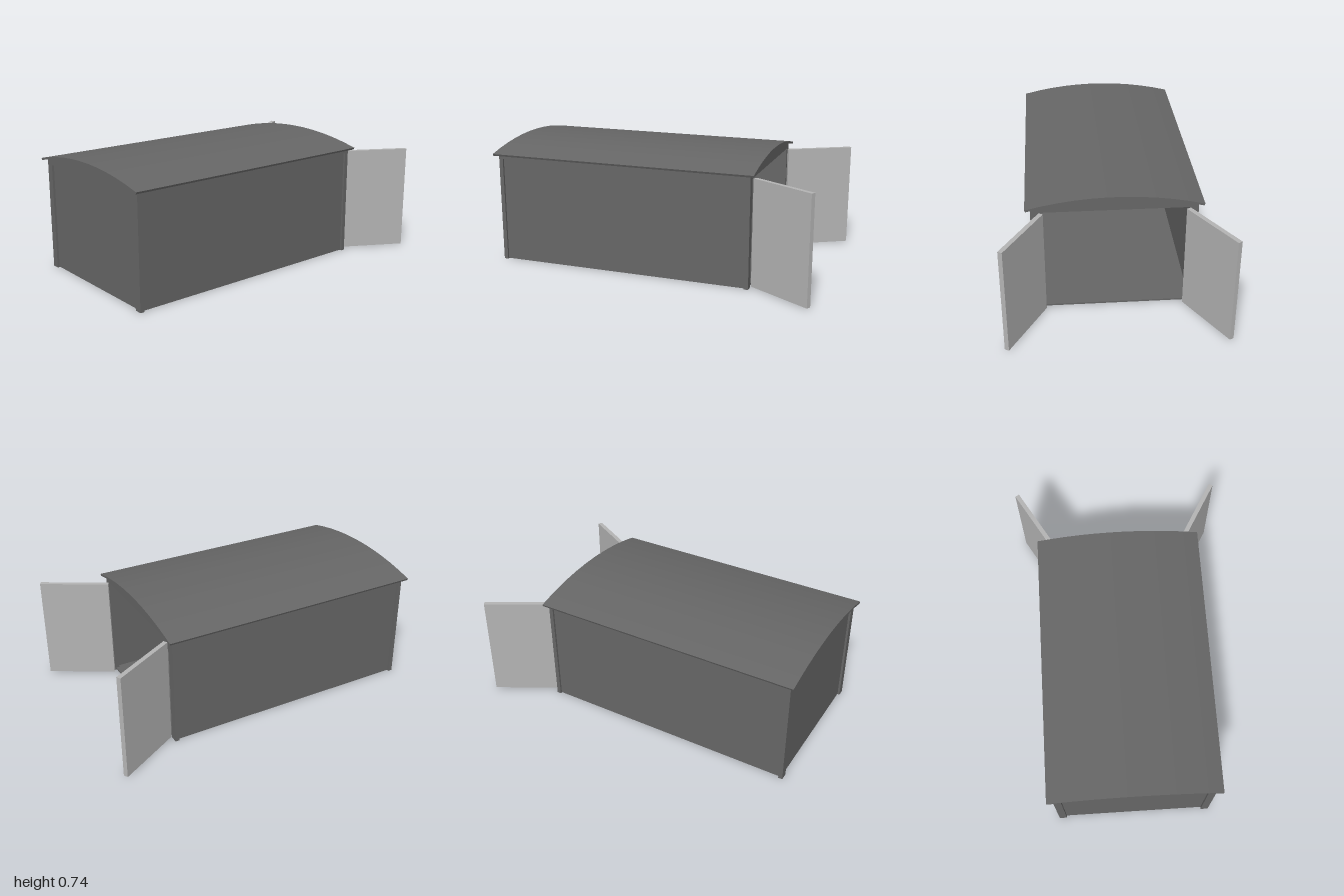
import * as THREE from 'three';

const body = new THREE.MeshStandardMaterial({ color: 0x666666 });
body.name = 'dark grey';
const leaf = new THREE.MeshStandardMaterial({ color: 0xb4b4b4 });
leaf.name = 'light grey';

// Box given by its lower and upper limits on each axis
function box(name, x0, x1, y0, y1, z0, z1, material = body) {
  const mesh = new THREE.Mesh(new THREE.BoxGeometry(x1 - x0, y1 - y0, z1 - z0), material);
  mesh.position.set((x0 + x1) / 2, (y0 + y1) / 2, (z0 + z1) / 2);
  mesh.name = name;
  return mesh;
}

// Points on the roof arc, given as (z, y), running from -half to +half
function arc(half, drop, count = 11) {
  const radius = 2.02, pts = [];
  for (let i = 0; i <= count; i++) {
    const z = -half + (2 * half * i) / count;
    pts.push(new THREE.Vector2(z, 0.741 - drop - radius + Math.sqrt(radius * radius - z * z)));
  }
  return pts;
}

// Extrudes a (z, y) outline along x from x0 to x1
function alongX(name, points, x0, x1) {
  const geo = new THREE.ExtrudeGeometry(new THREE.Shape(points), { depth: x1 - x0, bevelEnabled: false });
  geo.rotateY(Math.PI / 2);
  geo.translate(x0, 0, 0);
  const mesh = new THREE.Mesh(geo, body);
  mesh.name = name;
  return mesh;
}

export function createModel() {
  const model = new THREE.Group();
  model.name = 'container shed';

  const left = -0.975, right = 0.615, post = 0.025, eave = 0.645;

  // Floor and closed end
  model.add(box('floor', -0.955, 0.61, 0.005, 0.015, -0.445, 0.445));
  model.add(box('endWall', -0.962, -0.947, 0.004, 0.64, -0.45, 0.45));

  // Arched roof sheet
  model.add(alongX('roof', [...arc(0.5, 0), ...arc(0.495, 0.013).reverse()], -1, 0.64));

  // Gables filling the arch at both ends
  for (const x of [left, right - post]) {
    const outline = [new THREE.Vector2(0.47, eave), new THREE.Vector2(-0.47, eave), ...arc(0.47, 0.012)];
    model.add(alongX('gable', outline, x, x + post));
  }

  for (const s of [-1, 1]) {
    const span = (a, b) => [Math.min(s * a, s * b), Math.max(s * a, s * b)];

    // Long wall, its top rail and corner posts
    model.add(box('sideWall', left + post, right - post, 0.002, eave, ...span(0.444, 0.458)));
    model.add(box('topRail', left, right, eave, 0.676, ...span(0.444, 0.47)));
    for (const x of [left, right - post]) {
      model.add(box('cornerPost', x, x + post, 0, eave, ...span(0.425, 0.47)));
    }

    // Open door leaf swung outward about its hinge
    const door = new THREE.Group();
    door.name = 'doorHinge';
    door.add(box('door', 0, 0.424, 0.005, eave, ...span(0, 0.027), leaf));
    door.position.set(0.633, 0, s * 0.4);
    door.rotation.y = -s * Math.PI / 6;
    model.add(door);
  }
  return model;
}
